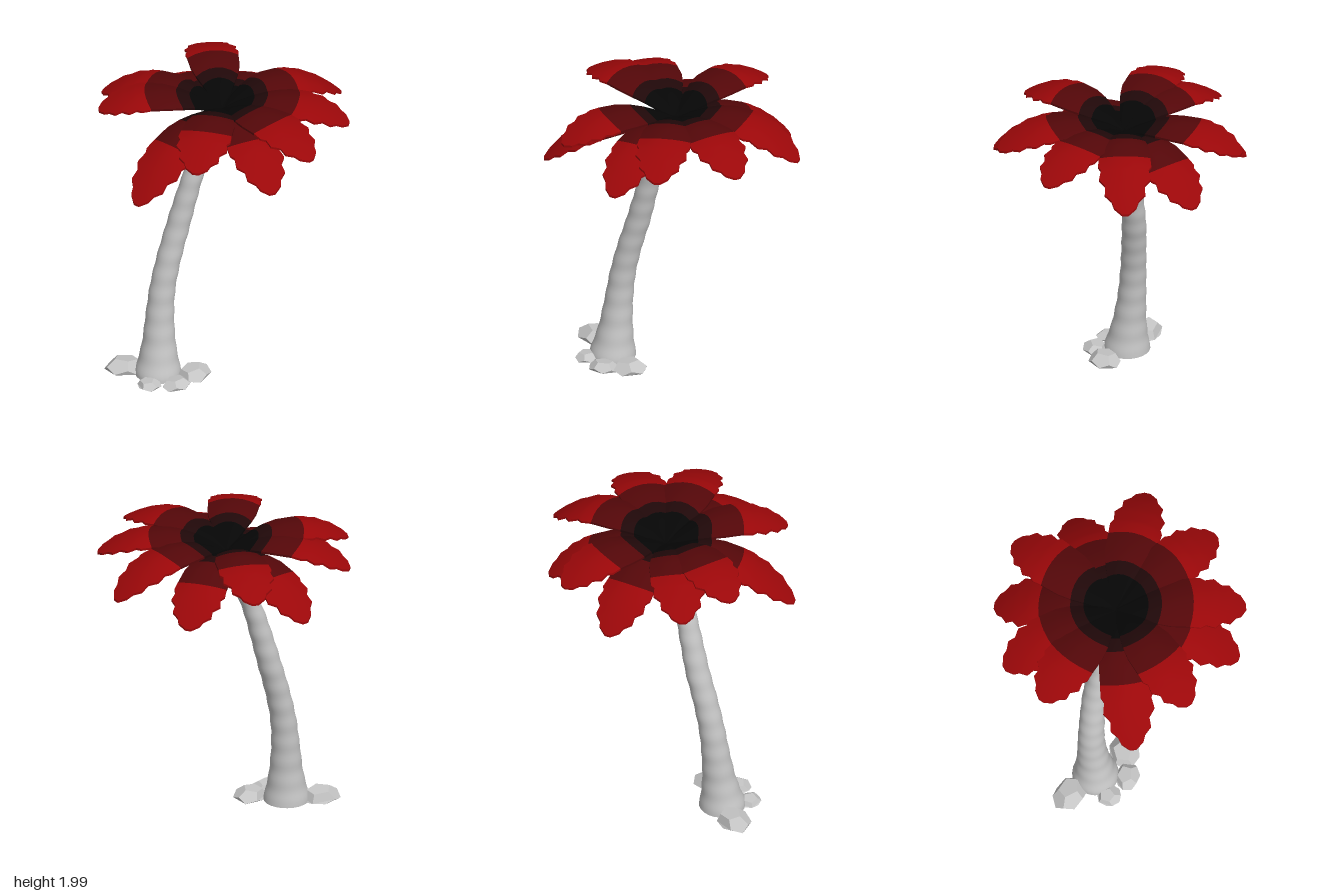
import * as THREE from 'three';
import { mergeVertices } from 'three/addons/utils/BufferGeometryUtils.js';

const mat = (name, color) => {
  const m = new THREE.MeshStandardMaterial({ color });
  m.name = name;
  return m;
};

const CROWN = new THREE.Vector3(-0.04, 0, -0.03);

// Leaning trunk: rings swept along a curve, with soft ripples
function trunkGeometry() {
  // x, y, z, radius
  const rings = [
    [-0.485, 0, -0.035, 0.147], [-0.484, 0.05, -0.037, 0.138], [-0.472, 0.2, -0.05, 0.108],
    [-0.457, 0.4, -0.067, 0.09], [-0.432, 0.6, -0.077, 0.082], [-0.386, 0.8, -0.082, 0.079],
    [-0.328, 1, -0.085, 0.077], [-0.275, 1.2, -0.077, 0.072], [-0.218, 1.4, -0.065, 0.066],
    [-0.14, 1.6, -0.048, 0.061], [-0.095, 1.7, -0.04, 0.06], [-0.055, 1.81, -0.035, 0.056],
  ];
  const path = new THREE.CatmullRomCurve3(rings.map(r => new THREE.Vector3(r[0], r[1], r[2])), false, 'catmullrom');
  const radii = new THREE.CatmullRomCurve3(rings.map(r => new THREE.Vector3(r[3], r[1], 0)), false, 'catmullrom');
  let geo = new THREE.CylinderGeometry(1, 1, 1, 24, 88, true);
  geo.deleteAttribute('uv');
  geo.deleteAttribute('normal');
  geo = mergeVertices(geo);
  const p = geo.attributes.position;
  for (let i = 0; i < p.count; i++) {
    const t = THREE.MathUtils.clamp(p.getY(i) + 0.5, 0, 1);
    const c = path.getPoint(t);
    const r = radii.getPoint(t).x + 0.002 * Math.sin(c.y * Math.PI * 2 * 7.5);
    p.setXYZ(i, c.x + p.getX(i) * r, c.y, c.z + p.getZ(i) * r);
  }
  geo.computeVertexNormals();
  return geo;
}

// Leaf rows as [radius, half width, colour band that starts here]
function leafRows(length) {
  const inner = [[0.001, 0.0006, 0], [0.1, 0.058, 0], [0.205, 0.1, 1], [0.29, 0.132, 2], [0.38, 0.155, 2]];
  const outer = [[0, 0.162], [0.2, 0.168], [0.28, 0.15], [0.46, 0.163], [0.57, 0.124],
    [0.72, 0.128], [0.81, 0.086], [0.91, 0.07], [1, 0.02]];
  return inner.concat(outer.map(([f, w]) => [0.49 + f * (length - 0.49), w, 3]));
}

// Arched leaf with jagged sides, drooping edges and a little thickness
function leafGeometry(angle, length, tipY, lift, baseY) {
  const N = 6, thick = 0.014;
  const rows = leafRows(length);
  const pos = [], bands = [[], [], [], []];
  const point = (i, j, drop) => {
    const [rho, w] = rows[i];
    const v = (j / N) * 2 - 1, s = rho / length;
    const th = angle + v * Math.asin(Math.min(0.8, w / rho));
    const droop = 0.45 * (1 - s) * w * v * v;
    const y = baseY + lift * s - (baseY + lift - tipY) * s * s - droop - drop;
    return [rho * Math.cos(th), y, rho * Math.sin(th)];
  };
  for (const drop of [0, thick])
    for (let i = 0; i < rows.length; i++)
      for (let j = 0; j <= N; j++) pos.push(...point(i, j, drop));
  const half = rows.length * (N + 1);
  const rim = (band, ...corners) => {
    const k = pos.length / 3;
    corners.forEach(c => pos.push(...point(...c)));
    bands[band].push(k, k + 1, k + 2, k, k + 2, k + 3);
  };
  const last = rows.length - 1;
  for (let i = 0; i < last; i++) {
    const band = rows[i][2];
    for (let j = 0; j < N; j++) {
      const a = i * (N + 1) + j, b = a + 1, c = a + N + 1, d = c + 1;
      bands[band].push(a, b, c, b, d, c);
      bands[band].push(a + half, c + half, b + half, b + half, c + half, d + half);
    }
    rim(band, [i, 0, 0], [i + 1, 0, 0], [i + 1, 0, thick], [i, 0, thick]);
    rim(band, [i, N, thick], [i + 1, N, thick], [i + 1, N, 0], [i, N, 0]);
  }
  for (let j = 0; j < N; j++)
    rim(3, [last, j + 1, 0], [last, j + 1, thick], [last, j, thick], [last, j, 0]);

  const geo = new THREE.BufferGeometry();
  geo.setAttribute('position', new THREE.Float32BufferAttribute(pos, 3));
  geo.setIndex(bands.flat());
  let start = 0;
  bands.forEach((b, i) => { geo.addGroup(start, b.length, i); start += b.length; });
  geo.computeVertexNormals();
  return geo;
}

// Faceted stone with a flat underside
function rockGeometry(x, z, sx, h, sz, turn) {
  const geo = new THREE.DodecahedronGeometry(1, 0);
  geo.rotateX(0.3);
  geo.rotateY(turn * 2);
  const p = geo.attributes.position;
  for (let i = 0; i < p.count; i++) p.setY(i, Math.max(0, p.getY(i) + 0.15) / 1.1);
  geo.scale(sx, h, sz);
  geo.rotateY(turn);
  geo.translate(x, 0, z);
  geo.computeVertexNormals();
  return geo;
}

export function createModel() {
  const model = new THREE.Group();
  model.name = 'palmTree';
  const grey = mat('pale grey', 0xc4c4c4);
  const leafMats = [mat('black', 0x060606), mat('darkest red', 0x200809),
    mat('dark red', 0x540709), mat('red', 0x9b0709)];
  const add = (name, geo, material, parent = model) => {
    const mesh = new THREE.Mesh(geo, material);
    mesh.name = name;
    parent.add(mesh);
    return mesh;
  };

  add('trunk', trunkGeometry(), grey);
  const base = add('trunkBase', new THREE.CircleGeometry(0.147, 24), grey);
  base.rotation.x = Math.PI / 2;
  base.position.set(-0.485, 0, -0.035);

  // Leaves: direction x, direction z, length, tip height, lift
  const crown = new THREE.Group();
  crown.name = 'crown';
  crown.position.copy(CROWN);
  model.add(crown);
  [
    [0.84, -0.04, 0.845, 1.73, 0.59],
    [0.66, 0.46, 0.81, 1.82, 0.52],
    [0.25, 0.78, 0.82, 1.84, 0.52],
    [-0.04, 0.82, 0.82, 1.69, 0.44],
    [-0.49, 0.63, 0.79, 1.85, 0.54],
    [-0.75, 0.33, 0.83, 1.53, 0.26],
    [-0.71, -0.27, 0.78, 1.88, 0.57],
    [-0.56, -0.57, 0.8, 1.81, 0.54],
    [-0.11, -0.76, 0.775, 1.63, 0.35],
    [0.25, -0.75, 0.79, 1.84, 0.55],
    [0.57, -0.46, 0.74, 1.63, 0.35],
  ].forEach(([dx, dz, length, tipY, lift], i) =>
    add('leaf', leafGeometry(Math.atan2(dz, dx), length, tipY, lift, 1.84 + 0.004 * (i % 3)), leafMats, crown));

  // Coconuts hanging under the crown
  for (const [x, y, z] of [[-0.005, 1.71, 0.045], [0.04, 1.735, -0.05], [-0.05, 1.705, -0.108]]) {
    const nut = add('coconut', new THREE.SphereGeometry(1, 20, 14), grey);
    nut.scale.set(0.035, 0.052, 0.035);
    nut.position.set(x, y, z);
  }

  // Stones around the foot: x, z, half width, height, half depth, turn
  for (const r of [
    [-0.665, -0.15, 0.13, 0.09, 0.1, -0.3],
    [-0.605, 0.09, 0.075, 0.045, 0.08, 0.3],
    [-0.45, 0.165, 0.098, 0.058, 0.08, 0.1],
    [-0.295, 0.1, 0.115, 0.075, 0.1, 0.4],
  ]) add('rock', rockGeometry(...r), grey);

  return model;
}
